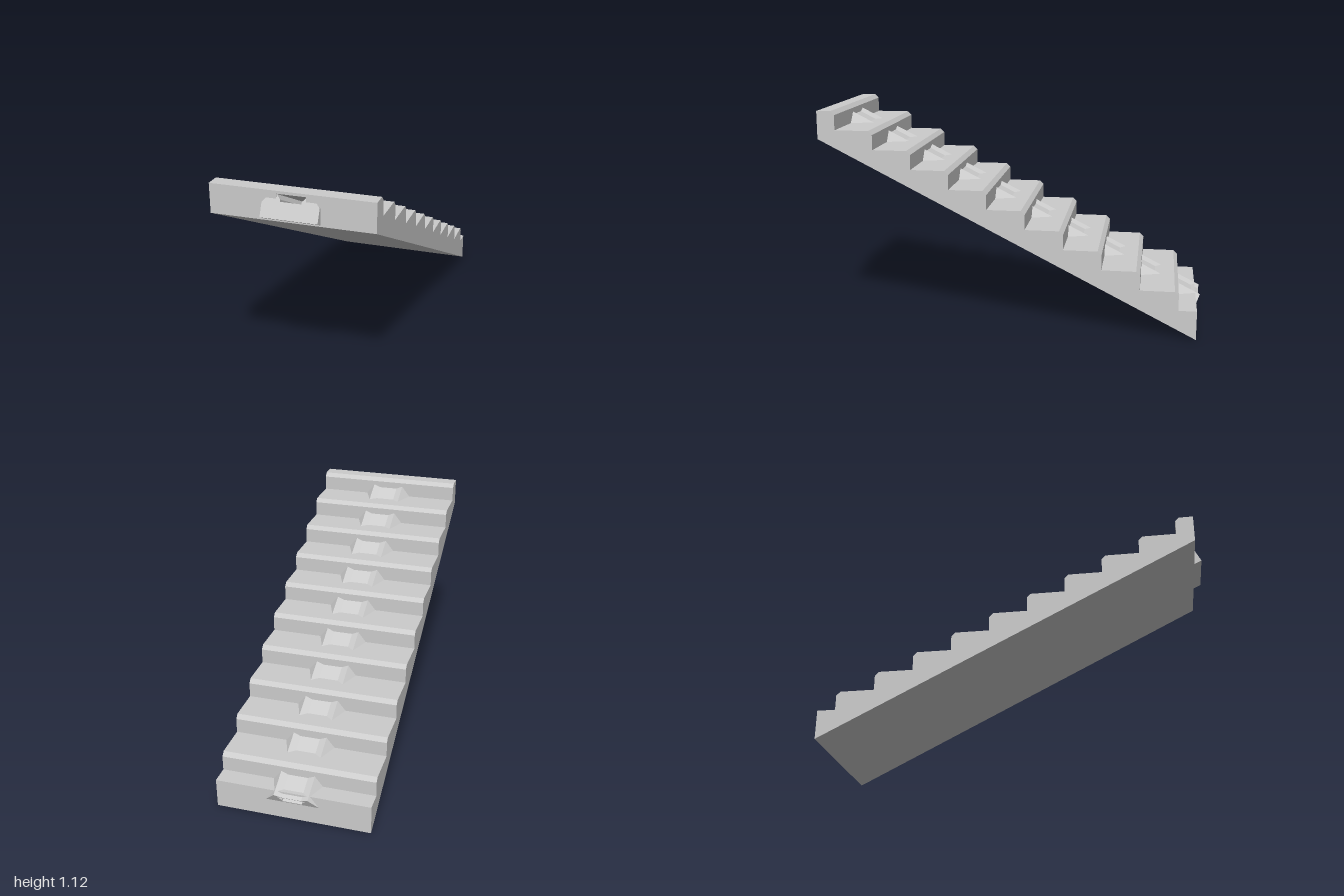
import * as THREE from 'three';

const FRONT = 0.96, BACK = -0.975, HALF = 0.39, SLOT = 0.07;
const material = new THREE.MeshStandardMaterial({ color: 0xcccccc, flatShading: true, side: THREE.DoubleSide });

// Extrudes a side profile of [z, y] points from x0 to x1
function sideExtrude(name, points, x0, x1) {
  const shape = new THREE.Shape(points.map(([z, y]) => new THREE.Vector2(-z, y)));
  const geometry = new THREE.ExtrudeGeometry(shape, { depth: x1 - x0, bevelEnabled: false });
  geometry.rotateY(Math.PI / 2).translate(x0, 0, 0);
  const mesh = new THREE.Mesh(geometry, material);
  mesh.name = name;
  return mesh;
}

export function createModel() {
  const group = new THREE.Group();
  group.name = 'steppedRamp';

  // Steps from the highest to the lowest: outer edge z and tread height y
  const steps = [];
  for (let i = 0; i <= 10; i++) {
    steps.push({
      z: i < 10 ? 0.868 - 0.1945 * i : BACK,
      y: 1.117 - 0.0967 * i,
      chamfer: i < 10 ? 0.02 : 0,
    });
  }

  // Stair profile on both sides of the slot
  const stair = [[BACK, 0], [FRONT, 0.973], [FRONT, steps[0].y]];
  steps.forEach(({ z, y, chamfer }, i) => {
    if (i > 0) stair.push([steps[i - 1].z, y]);
    if (chamfer) stair.push([z + chamfer, y]);
    stair.push([z, y - chamfer]);
  });
  group.add(sideExtrude('leftSteps', stair, SLOT, HALF));
  group.add(sideExtrude('rightSteps', stair, -HALF, -SLOT));

  // Middle of the slab below the slot
  const slotFloor = z => 0.587 + 0.5 * z;
  group.add(sideExtrude('slabCore', [
    [BACK, 0], [FRONT, 0.973], [FRONT, slotFloor(FRONT)], [BACK, slotFloor(BACK)],
  ], -SLOT, SLOT));

  // Middle of the step noses above the slot
  const plate = z => 0.6265 + 0.5 * z;
  const noses = [[BACK, plate(BACK) - 0.003], [FRONT, plate(FRONT) - 0.003]];
  steps.forEach(({ z, y, chamfer }, i) => {
    noses.push([Math.min(FRONT, (y - 0.6265) / 0.5), y]);
    if (chamfer) noses.push([z + chamfer, y]);
    noses.push([z, y - chamfer]);
    if (i < 10) noses.push([z, plate(z)]);
  });
  group.add(sideExtrude('stepNoses', noses, -SLOT, SLOT));

  // Sloping rail with two ridges, a flat middle and a flared tunnel
  const mirrored = half => [...half, ...half.map(([x, y]) => [-x, y]).reverse()]
    .map(([x, y]) => new THREE.Vector2(x, y));
  const section = new THREE.Shape(mirrored([[0.135, 0], [0.135, 0.07], [0.085, 0.1275], [0.05, 0.114]]));
  section.holes.push(new THREE.Path(mirrored([[0.05, 0.078], [0.05, 0.088], [0.07, 0.111]])));
  const rail = new THREE.Mesh(
    new THREE.ExtrudeGeometry(section, { depth: 2.1725, bevelEnabled: false }), material);
  rail.name = 'rail';
  rail.rotation.x = -Math.atan(0.5);
  rail.position.set(0, 0.0285, -0.943);
  group.add(rail);

  return group;
}
